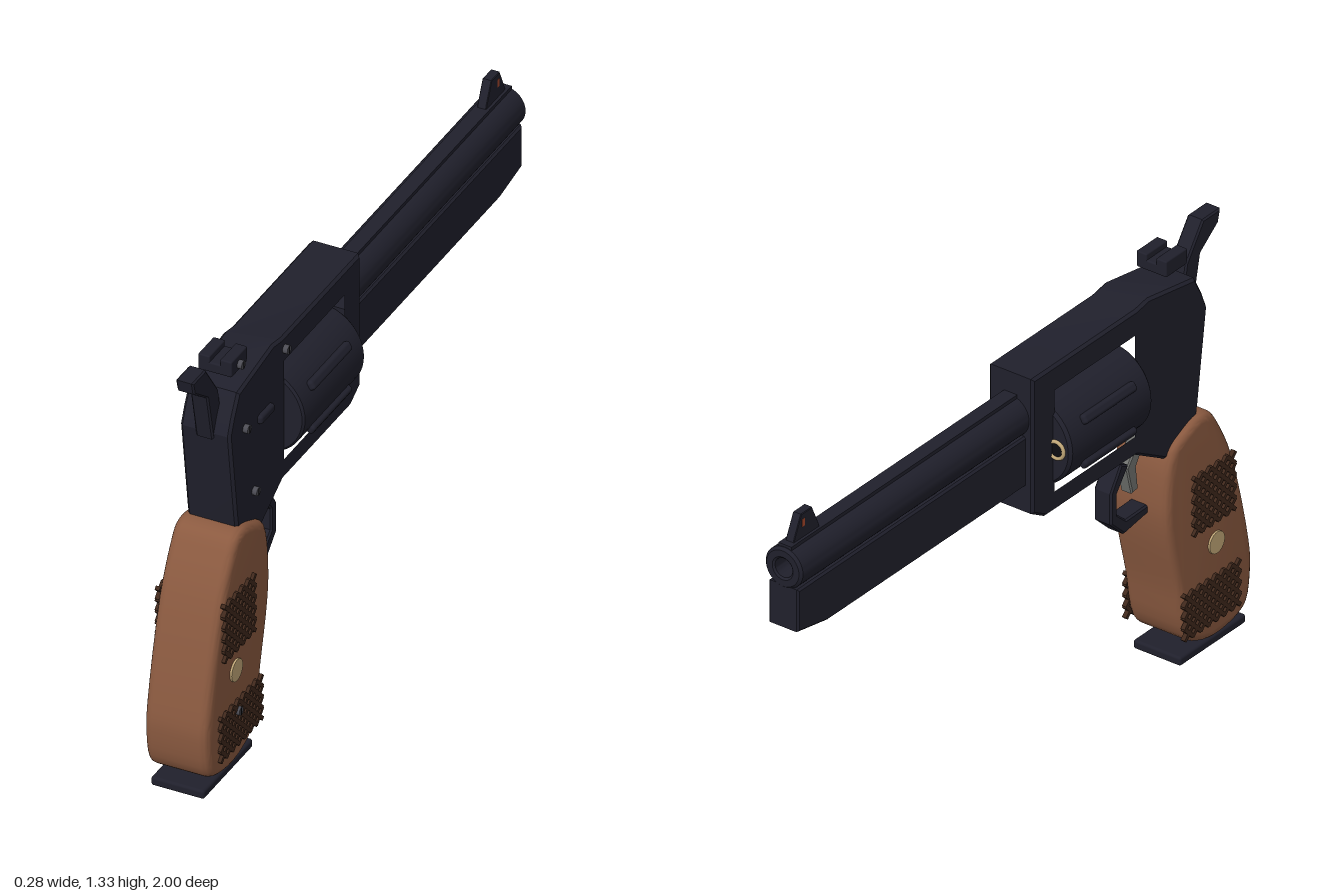
import * as THREE from 'three';
import { toCreasedNormals } from 'three/addons/utils/BufferGeometryUtils.js';
import { RoundedBoxGeometry } from 'three/addons/geometries/RoundedBoxGeometry.js';

const mat = (name, color) => Object.assign(new THREE.MeshStandardMaterial({ color }), { name });

export function createModel() {
  const model = new THREE.Group();
  model.name = 'revolver';
  const steel = mat('blued steel', 0x20202c);
  const wood = mat('walnut', 0x8b5a40);
  const darkWood = mat('dark walnut', 0x3f281c);
  const brass = mat('brass', 0xc2a878);
  const grey = mat('grey steel', 0x70726f);
  const screwSteel = mat('screw steel', 0x4c4c54);
  const black = mat('bore black', 0x0c0c10);
  const red = mat('sight red', 0xa8482c);

  const add = (name, geo, material, x = 0, y = 0, z = 0, parent = model) => {
    const m = new THREE.Mesh(geo, material);
    m.name = name;
    m.position.set(x, y, z);
    parent.add(m);
    return m;
  };

  // Side profile given as [z, y] points, extruded across x to +-half
  const profile = (pts, half, bevel, { hole, segments = 1, crease = 0.4 } = {}) => {
    const v = (list) => list.map(([z, y]) => new THREE.Vector2(-z, y));
    const shape = new THREE.Shape(v(pts));
    if (hole) shape.holes.push(new THREE.Path(v(hole)));
    const depth = 2 * (half - bevel);
    const geo = new THREE.ExtrudeGeometry(shape, {
      depth, bevelEnabled: bevel > 0, bevelSize: bevel, bevelThickness: bevel,
      bevelOffset: -bevel, bevelSegments: segments,
    });
    geo.translate(0, 0, -depth / 2).rotateY(Math.PI / 2);
    return toCreasedNormals(geo, crease);
  };
  // Disc whose axis runs along x
  const disc = (r, h, n = 20) => new THREE.CylinderGeometry(r, r, h, n).rotateZ(Math.PI / 2);

  // Frame with the cylinder window
  add('frame', profile([
    [0.82, 1.09], [0.80, 1.14], [0.765, 1.205], [0.555, 1.24], [0.5, 1.23], [0.03, 1.23],
    [0.03, 0.80], [0.09, 0.765], [0.5, 0.765], [0.63, 0.69], [0.76, 0.69], [0.78, 0.80],
  ], 0.077, 0.008, { hole: [[0.5, 1.16], [0.12, 1.16], [0.12, 0.82], [0.5, 0.82]] }), steel);

  // Barrel with an open bore, underlug and top rib
  const tube = [[0.03, -0.9], [0.03, -0.995], [0.036, -1], [0.056, -1], [0.064, -0.992], [0.064, 0.04]]
    .map(([r, z]) => new THREE.Vector2(r, -z));
  const barrelGeo = new THREE.LatheGeometry(tube.reverse(), 40).rotateX(-Math.PI / 2);
  add('barrel', toCreasedNormals(barrelGeo, 0.6), steel, 0, 1.093, 0);
  add('boreEnd', new THREE.CircleGeometry(0.031, 24).rotateY(Math.PI), black, 0, 1.093, -0.905);
  add('underlug', profile([
    [0.04, 1.04], [-0.998, 1.04], [-0.998, 0.905], [-0.86, 0.88], [0.04, 0.88],
  ], 0.052, 0.006), steel);
  add('topRib', new THREE.BoxGeometry(0.045, 0.03, 1.02), steel, 0, 1.149, -0.48);

  // Front sight
  add('frontSight', profile([
    [-0.85, 1.155], [-0.855, 1.175], [-0.885, 1.24], [-0.935, 1.24], [-0.965, 1.175], [-0.97, 1.155],
  ], 0.014, 0.002), steel);
  add('frontSightInsert', new THREE.BoxGeometry(0.03, 0.024, 0.012), red, 0, 1.21, -0.925);

  // Cylinder with raised ribs and chamber mouths
  const drum = new THREE.Group();
  drum.name = 'cylinder';
  drum.position.set(0, 0.97, 0);
  model.add(drum);
  const drumProfile = [[0, 0.12], [0.13, 0.12], [0.138, 0.13], [0.138, 0.485], [0.132, 0.492], [0, 0.492]]
    .map(([r, z]) => new THREE.Vector2(r, z));
  add('cylinderBody', toCreasedNormals(new THREE.LatheGeometry(drumProfile, 48).rotateX(Math.PI / 2)
    .scale(1, 1, 1), 0.6), steel, 0, 0, 0, drum);
  for (let i = 0; i < 6; i++) {
    const a = Math.PI / 6 + i * Math.PI / 3;
    const rib = add('cylinderRib', new RoundedBoxGeometry(0.026, 0.03, 0.235, 3, 0.01), steel,
      Math.cos(a) * 0.141, Math.sin(a) * 0.141, 0.31, drum);
    rib.rotation.z = a;
    const b = i * Math.PI / 3;
    const x = Math.cos(b) * 0.09, y = Math.sin(b) * 0.09;
    add('chamberRing', new THREE.TorusGeometry(0.026, 0.006, 8, 24), brass, x, y, 0.118, drum);
    add('chamberMouth', new THREE.CircleGeometry(0.024, 20).rotateY(Math.PI), black, x, y, 0.117, drum);
  }

  // Hammer
  add('hammer', profile([
    [0.945, 1.325], [0.865, 1.325], [0.79, 1.22], [0.77, 1.12], [0.80, 1.07], [0.822, 1.07],
    [0.855, 1.225], [0.935, 1.285],
  ], 0.027, 0.005), steel);

  // Rear sight with a notch between two ears
  add('rearSightBase', new RoundedBoxGeometry(0.104, 0.032, 0.095, 2, 0.005), steel, 0, 1.26, 0.713);
  for (const s of [-1, 1])
    add('rearSightEar', new RoundedBoxGeometry(0.036, 0.045, 0.095, 2, 0.004), steel, s * 0.034, 1.272, 0.713);

  // Trigger and guard
  add('trigger', profile([
    [0.61, 0.76], [0.58, 0.75], [0.53, 0.685], [0.553, 0.595], [0.582, 0.6], [0.573, 0.675], [0.6, 0.72],
  ], 0.02, 0.004), grey);
  add('triggerGuard', profile([
    [0.525, 0.705], [0.492, 0.722], [0.445, 0.648], [0.445, 0.55], [0.505, 0.493], [0.63, 0.512],
    [0.63, 0.537], [0.515, 0.535], [0.475, 0.57], [0.475, 0.638],
  ], 0.03, 0.005), steel);

  // Grip: closed smooth outline with rounded edges
  const outline = new THREE.CatmullRomCurve3([
    [0.815, 0.76], [0.765, 0.771], [0.70, 0.75], [0.638, 0.71], [0.61, 0.555], [0.617, 0.45],
    [0.66, 0.26], [0.695, 0.10], [0.74, 0.058], [0.83, 0.033], [0.94, 0.05], [0.98, 0.08],
    [1.0, 0.19], [0.993, 0.27], [0.915, 0.58], [0.85, 0.715],
  ].map(([z, y]) => new THREE.Vector3(z, y, 0)), true).getPoints(64).slice(0, -1).map((p) => [p.x, p.y]);
  add('grip', profile(outline, 0.098, 0.025, { segments: 5, crease: 0.6 }), wood);
  add('gripBasePlate', new RoundedBoxGeometry(0.164, 0.028, 0.298, 2, 0.008), steel, 0, 0.014, 0.838);

  // Checkered panels of crossed bars, and a medallion on both sides
  const bar = new THREE.BoxGeometry(0.014, 0.054, 0.012);
  const checker = (side, z0, y0, cols, rows, pitch) => {
    const panel = new THREE.Group();
    panel.name = 'checkeredPanel';
    model.add(panel);
    for (let i = 0; i < cols; i++) for (let j = 0; j < rows; j++) for (const t of [-1, 1]) {
      const m = add('checkerBar', bar, darkWood,
        side * 0.101, y0 + (j + 0.5) * pitch, z0 + (i + 0.5) * pitch, panel);
      m.rotation.x = t * Math.PI / 4;
    }
  };
  for (const s of [-1, 1]) {
    checker(s, 0.722, 0.41, 5, 5, 0.037);
    checker(s, 0.68, 0.096, 7, 4, 0.0355);
    add('medallion', disc(0.034, 0.02, 28), brass, s * 0.094, 0.34, 0.828);
  }

  // Screws and cylinder latch on the left side
  for (const [x, y, z] of [[0.08, 1.19, 0.49], [0.08, 1.07, 0.73], [0.08, 0.833, 0.675],
    [0.054, 1.265, 0.715], [0.103, 0.207, 0.825]]) {
    add('screw', disc(0.013, 0.024, 16), screwSteel, x, y, z);
    add('screwSlot', new THREE.BoxGeometry(0.002, 0.022, 0.004), black, x + 0.0125, y, z);
  }
  add('cylinderLatch', new RoundedBoxGeometry(0.03, 0.028, 0.082, 3, 0.009), steel, 0.076, 1.05, 0.612);

  return model;
}
